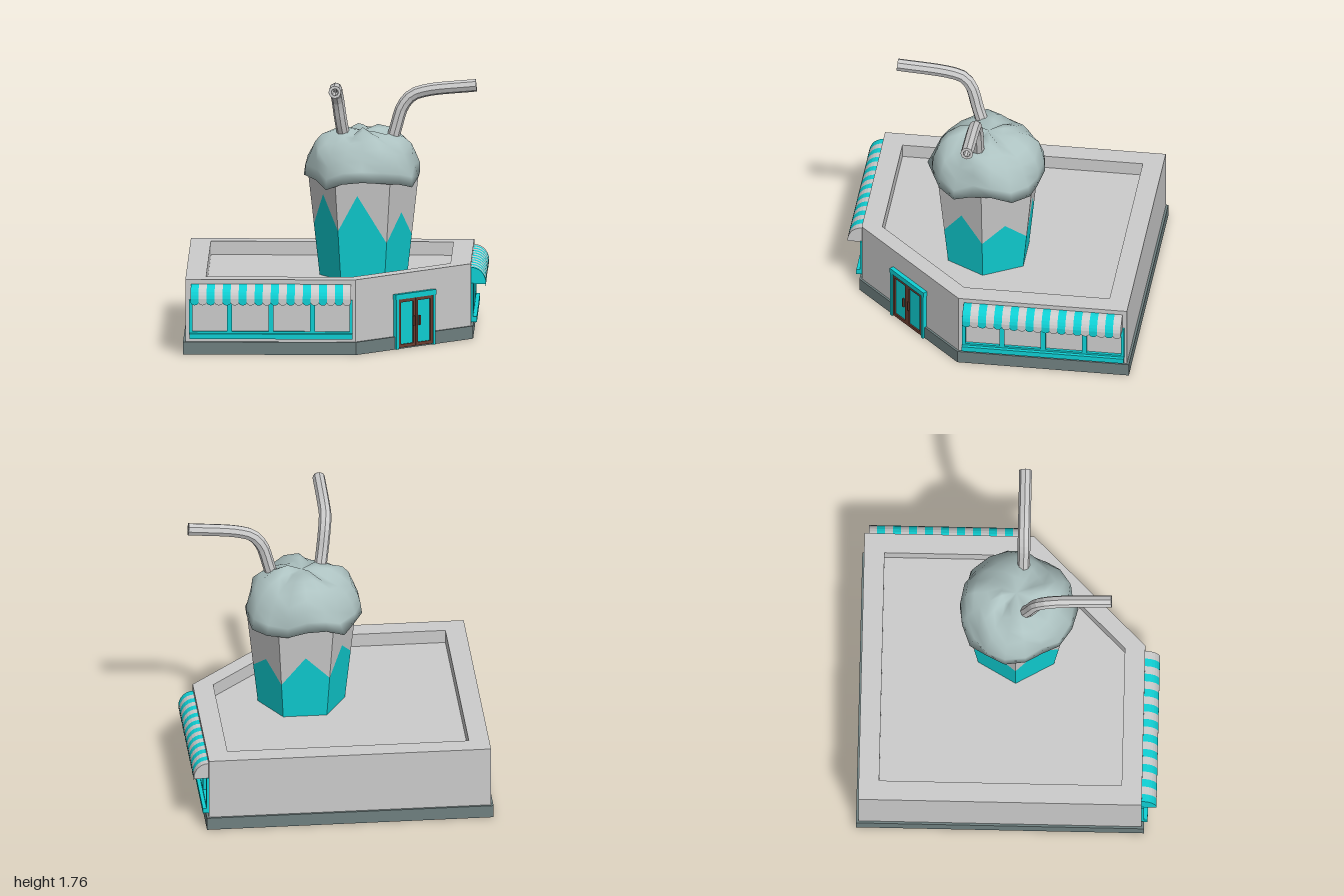
import * as THREE from 'three';
import { mergeVertices } from 'three/addons/utils/BufferGeometryUtils.js';

const mat = (color, extra = {}) => new THREE.MeshStandardMaterial({ color, ...extra });
const DS = { side: THREE.DoubleSide };
const grey = mat(0xcccccc), greyThin = mat(0xcccccc, DS);
const cyan = mat(0x0fd0d4), cyanThin = mat(0x0fd0d4, DS);
const brown = mat(0x6b3d30), slate = mat(0x6f8080), cream = mat(0xadc2c1, DS);
const flatGrey = mat(0xcccccc, { flatShading: true, side: THREE.DoubleSide });

function add(parent, name, geo, material, x = 0, y = 0, z = 0) {
  const m = new THREE.Mesh(geo, material);
  m.name = name;
  m.position.set(x, y, z);
  parent.add(m);
  return m;
}
const box = (parent, name, w, h, d, material, x, y, z) =>
  add(parent, name, new THREE.BoxGeometry(w, h, d), material, x, y, z);

// Footprints as [x, z] corners, starting at the front left corner of the plan
const footprint = (lo, hi, cut) => [[lo, hi], [cut, hi], [hi, cut], [hi, lo], [lo, lo]];
const OUTER = footprint(-0.985, 0.89, 0.14);
const PLINTH = footprint(-1, 0.905, 0.146);
const INNER = footprint(-0.85, 0.755, 0.12);
const toPoints = (pts) => pts.map(([x, z]) => new THREE.Vector2(x, z));
function planShape(pts, hole) {
  const s = new THREE.Shape(toPoints(pts));
  if (hole) s.holes.push(new THREE.Path(toPoints(hole)));
  return s;
}

// Upright walls along a footprint; each comes back as a group with x along the wall, z outward
function walls(parent, name, pts, y0, y1, openings = {}) {
  return pts.map(([x, z], i) => {
    const [bx, bz] = pts[(i + 1) % pts.length];
    const len = Math.hypot(bx - x, bz - z);
    const g = new THREE.Group();
    g.name = name;
    g.position.set(x, 0, z);
    g.rotation.y = Math.atan2(-(bz - z), bx - x);
    const rect = (C, a, b, c, d) => new C([[a, c], [b, c], [b, d], [a, d]].map((p) => new THREE.Vector2(...p)));
    const s = rect(THREE.Shape, 0, len, y0, y1);
    if (openings[i]) s.holes.push(rect(THREE.Path, ...openings[i]));
    add(g, name + 'Panel', new THREE.ShapeGeometry(s), greyThin);
    parent.add(g);
    return g;
  });
}

// Shop window with posts, sill and striped awning
function shopWindow(wall, centre) {
  const g = new THREE.Group();
  g.name = 'shopWindow';
  g.position.x = centre;
  wall.add(g);
  box(g, 'glass', 1.04, 0.24, 0.006, grey, 0, 0.25, -0.008);
  box(g, 'sill', 1.08, 0.035, 0.055, cyan, 0, 0.125, 0.012);
  box(g, 'lowerRail', 1.06, 0.02, 0.03, cyan, 0, 0.145, 0);
  box(g, 'upperRail', 1.06, 0.02, 0.03, cyan, 0, 0.362, 0);
  for (const x of [-0.53, -0.275, 0, 0.275, 0.53])
    box(g, 'post', Math.abs(x) > 0.5 ? 0.022 : 0.032, 0.23, 0.03, cyan, x, 0.25, 0);

  const n = 20, w = 1.06 / n;
  const profile = new THREE.Shape();
  profile.moveTo(0, 0.36);
  profile.lineTo(0.098, 0.36);
  profile.lineTo(0.098, 0.385);
  profile.bezierCurveTo(0.088, 0.43, 0.055, 0.47, 0, 0.47);
  const strip = new THREE.ExtrudeGeometry(profile, { depth: w, bevelEnabled: false, curveSegments: 6 });
  strip.rotateY(-Math.PI / 2).translate(w / 2, 0, 0);
  const scallop = new THREE.CircleGeometry(w / 2, 8, Math.PI, Math.PI).scale(1, 0.7, 1);
  for (let i = 0; i < n; i++) {
    const x = (i - (n - 1) / 2) * w;
    add(g, 'awningStripe', strip, i % 2 ? grey : cyan, x);
    add(g, 'awningScallop', scallop, i % 2 ? greyThin : cyanThin, x, 0.36, 0.097);
  }
}

// Double entrance door
function entrance(wall, centre) {
  const g = new THREE.Group();
  g.name = 'entrance';
  g.position.x = centre;
  wall.add(g);
  box(g, 'doorLintel', 0.37, 0.035, 0.04, cyan, 0, 0.35, 0.01);
  for (const s of [-1, 1]) {
    box(g, 'doorJamb', 0.022, 0.333, 0.04, cyan, s * 0.168, 0.1665, 0.01);
    box(g, 'doorGlass', 0.15, 0.31, 0.02, cyan, s * 0.08, 0.17, 0.005);
    for (const x of [0.011, 0.147]) box(g, 'doorStile', 0.02, 0.322, 0.034, brown, s * x, 0.171, 0.008);
    for (const y of [0.02, 0.322]) box(g, 'doorRail', 0.156, 0.022, 0.034, brown, s * 0.079, y, 0.008);
    box(g, 'doorHandle', 0.012, 0.065, 0.012, brown, s * 0.026, 0.18, 0.036);
  }
}

// Six-sided tapering cup with a zigzag colour band
function cup(parent) {
  const ridge = [0.68, 0.66, 0.7, 0.75, 0.74, 0.66];
  const peak = [0.79, 0.86, 0.87, 0.97, 0.98, 0.85];
  const y0 = 0.38, y1 = 1.08;
  const corner = (k, y) => {
    const r = 0.3 + (y - 0.5) * 0.112, a = k * Math.PI / 3;
    return new THREE.Vector3(r * Math.cos(a), y, -r * Math.sin(a));
  };
  const band = [], top = [];
  for (let k = 0; k < 6; k++) {
    const n = (k + 1) % 6;
    const b0 = corner(k, y0), b1 = corner(n, y0), t0 = corner(k, y1), t1 = corner(n, y1);
    const r0 = corner(k, ridge[k]), r1 = corner(n, ridge[n]);
    const p = corner(k, peak[k]).lerp(corner(n, peak[k]), k === 4 ? 0.4 : 0.5);
    band.push(b0, b1, r1, b0, r1, p, b0, p, r0);
    top.push(r0, p, t0, p, t1, t0, p, r1, t1);
  }
  const g = new THREE.Group();
  g.name = 'cup';
  g.position.set(0.177, 0, 0.037);
  parent.add(g);
  for (const [name, pts, m] of [['cupBand', band, cyan], ['cupUpper', top, grey]]) {
    const geo = new THREE.BufferGeometry().setFromPoints(pts);
    geo.computeVertexNormals();
    add(g, name, geo, m);
  }
  add(g, 'cupBase', new THREE.CircleGeometry(0.287, 6).rotateX(Math.PI / 2), cyan, 0, y0, 0);
}

// Lumpy whipped topping: a lathe pushed in and out by waves
function topping(parent) {
  const profile = [[0, 1.08], [0.3, 1.08], [0.385, 1.06], [0.375, 1.13], [0.355, 1.2], [0.325, 1.27],
    [0.27, 1.325], [0.19, 1.365], [0.1, 1.385], [0, 1.375]].map((p) => new THREE.Vector2(...p));
  let geo = new THREE.LatheGeometry(profile, 18);
  const pos = geo.attributes.position;
  for (let i = 0; i < pos.count; i++) {
    const x = pos.getX(i), y = pos.getY(i), z = pos.getZ(i);
    const r = Math.hypot(x, z), a = Math.atan2(z, x);
    if (r < 0.01 || (y < 1.09 && r < 0.31)) continue;
    const wave = 0.035 * Math.sin(3 * a + 9 * y) + 0.03 * Math.sin(5 * a - 14 * y + 1) + 0.02 * Math.sin(8 * a + 25 * y);
    const lift = 0.028 * Math.sin(4 * a + 2) + 0.016 * Math.sin(7 * a + 20 * r);
    const k = 1 + wave;
    pos.setXYZ(i, x * k, y + lift * (y > 1.3 ? 0.8 : 1), z * k);
  }
  geo.deleteAttribute('uv');
  geo.deleteAttribute('normal');
  geo = mergeVertices(geo, 1e-4);
  geo.computeVertexNormals();
  add(parent, 'whippedTopping', geo, cream, 0.175, 0, 0.037);
}

// Hollow bent drinking straw
function straw(parent, pts) {
  const curve = new THREE.CatmullRomCurve3(pts.map((p) => new THREE.Vector3(...p)), false, 'centripetal');
  const g = new THREE.Group();
  g.name = 'straw';
  parent.add(g);
  add(g, 'strawOuter', new THREE.TubeGeometry(curve, 16, 0.042, 8), flatGrey);
  add(g, 'strawInner', new THREE.TubeGeometry(curve, 16, 0.023, 8), flatGrey);
  const rim = add(g, 'strawRim', new THREE.RingGeometry(0.023, 0.041, 16), flatGrey);
  rim.position.copy(curve.getPoint(1));
  rim.lookAt(curve.getPoint(1).add(curve.getTangent(1)));
}

export function createModel() {
  const model = new THREE.Group();
  model.name = 'milkshakeStand';

  // Plinth, walls and recessed roof
  const plinth = new THREE.ExtrudeGeometry(planShape(PLINTH, OUTER), { depth: 0.085, bevelEnabled: false });
  add(model, 'plinth', plinth.rotateX(Math.PI / 2), slate, 0, 0.085, 0);
  const windowHole = [0.567 - 0.53, 0.567 + 0.53, 0.14, 0.365];
  const [front, corner, side] = walls(model, 'wall', OUTER, 0.02, 0.5, { 0: windowHole, 2: windowHole });
  const flat = (shape) => new THREE.ShapeGeometry(shape).rotateX(Math.PI / 2);
  add(model, 'parapetTop', flat(planShape(OUTER, INNER)), greyThin, 0, 0.5, 0);
  walls(model, 'parapetInside', INNER, 0.41, 0.5);
  add(model, 'roof', flat(planShape(INNER)), greyThin, 0, 0.41, 0);

  shopWindow(front, 0.567);
  shopWindow(side, 0.567);
  entrance(corner, 0.53);

  // Giant drink on the roof
  cup(model);
  topping(model);
  straw(model, [[0.06, 1.28, 0.07], [0.03, 1.45, 0.13], [0.01, 1.6, 0.175], [0, 1.665, 0.23], [0, 1.695, 0.33], [0, 1.722, 0.67]]);
  straw(model, [[0.36, 1.28, 0.08], [0.4, 1.43, 0.08], [0.435, 1.54, 0.08], [0.495, 1.615, 0.08], [0.59, 1.65, 0.08], [0.925, 1.685, 0.08]]);
  return model;
}
